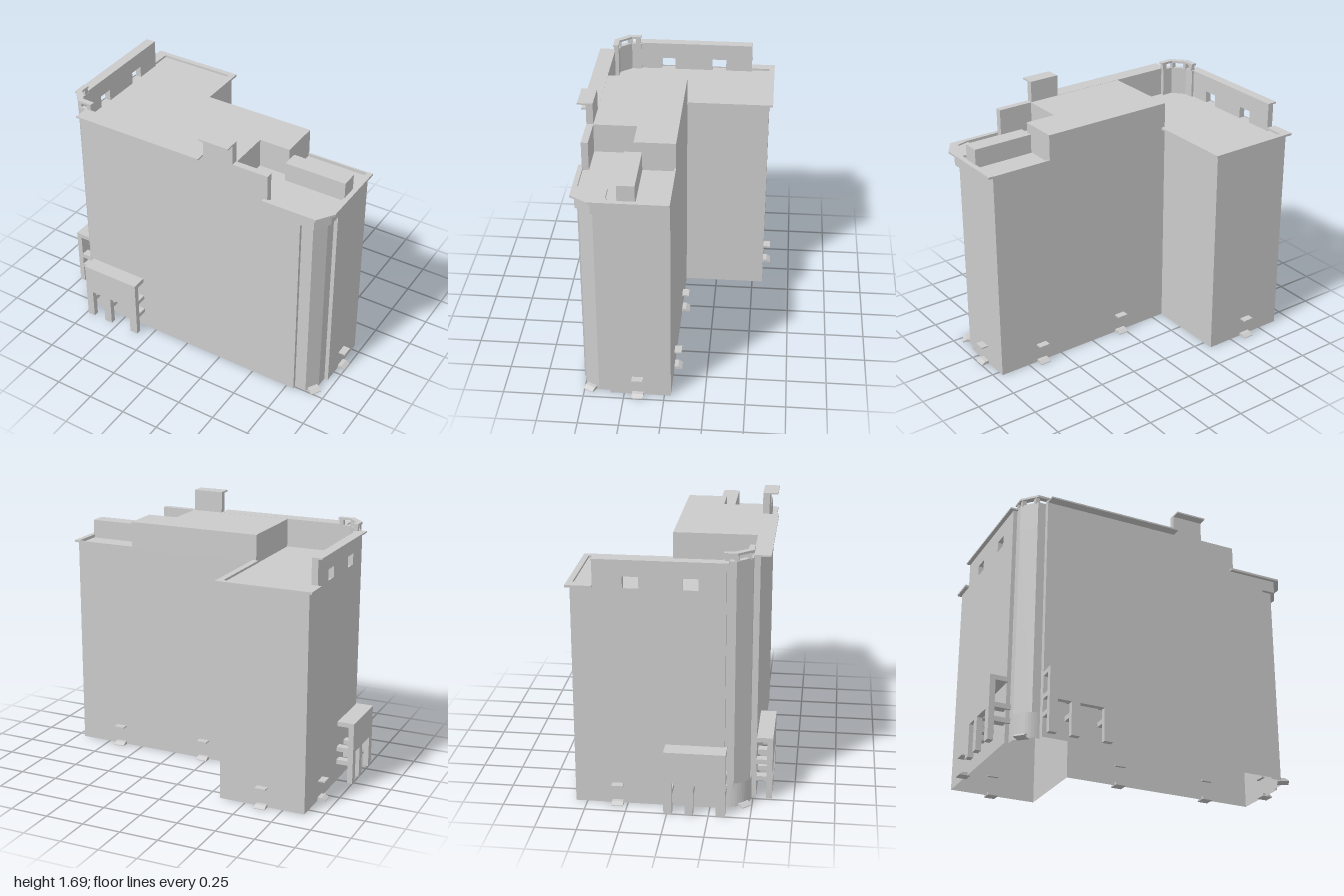
import * as THREE from 'three';

const mat = new THREE.MeshStandardMaterial({ color: 0xcccccc, flatShading: true, side: THREE.DoubleSide });

function add(parent, name, geo) {
  const m = new THREE.Mesh(geo, mat);
  m.name = name;
  parent.add(m);
  return m;
}

// Box given by its min and max on each axis
function box(parent, name, x0, x1, y0, y1, z0, z1) {
  const g = new THREE.BoxGeometry(x1 - x0, y1 - y0, z1 - z0);
  g.translate((x0 + x1) / 2, (y0 + y1) / 2, (z0 + z1) / 2);
  return add(parent, name, g);
}

const toShape = (pts) => new THREE.Shape(pts.map(([x, z]) => new THREE.Vector2(x, -z)));

// Plan outline [x, z] extruded upward
function prism(parent, name, pts, y0, y1) {
  const g = new THREE.ExtrudeGeometry(toShape(pts), { depth: y1 - y0, bevelEnabled: false });
  g.rotateX(-Math.PI / 2);
  g.translate(0, y0, 0);
  return add(parent, name, g);
}

// Closed ring of upright walls, open above and below
function walls(parent, name, pts, y0, y1) {
  const pos = [];
  pts.forEach(([ax, az], i) => {
    const [bx, bz] = pts[(i + 1) % pts.length];
    pos.push(ax, y0, az, bx, y0, bz, bx, y1, bz, ax, y0, az, bx, y1, bz, ax, y1, az);
  });
  const g = new THREE.BufferGeometry();
  g.setAttribute('position', new THREE.Float32BufferAttribute(pos, 3));
  g.computeVertexNormals();
  return add(parent, name, g);
}

// Step and optional canopy, facing local +z
function entrance(parent, x, z, angle, canopy = true) {
  const e = new THREE.Group();
  e.name = 'entrance';
  const s = new THREE.Shape([[-0.02, 0], [0.05, 0], [0.05, 0.004], [0.025, 0.02], [-0.02, 0.02]]
    .map(([a, b]) => new THREE.Vector2(a, b)));
  const g = new THREE.ExtrudeGeometry(s, { depth: 0.07, bevelEnabled: false });
  g.translate(0, 0, -0.035);
  g.rotateY(-Math.PI / 2);
  add(e, 'step', g);
  if (canopy) box(e, 'canopy', -0.035, 0.035, 0.124, 0.133, -0.02, 0.045);
  e.position.set(x, 0, z);
  e.rotation.y = angle;
  parent.add(e);
}

// Portico with three legs tied back to the wall; faces local +z, x from 0 to w
function portico(parent, name, w, depth, barY) {
  const p = new THREE.Group();
  p.name = name;
  const legs = [[0, 0.05], [w * 0.345, w * 0.48], [w - 0.055, w]];
  box(p, 'frontPanel', 0, w, 0.205, 0.405, depth - 0.035, depth);
  box(p, 'topSlab', 0, w, 0.375, 0.405, 0, depth);
  for (const [a, b] of legs) {
    box(p, 'leg', a, b, 0, 0.205, depth - 0.035, depth);
    for (const y of [0.118, barY]) box(p, 'tieBar', a, b, y, y + 0.03, -0.02, depth - 0.035);
  }
  parent.add(p);
  return p;
}

export function createModel() {
  const root = new THREE.Group();
  root.name = 'building';

  // L-shaped body with both front corners cut
  const outline = [
    [-0.89, -0.57], [-0.33, -0.57], [-0.33, -0.04], [0.95, -0.04], [0.95, 0.335],
    [0.925, 0.335], [0.925, 0.41], [0.875, 0.495], [0.8, 0.495], [0.8, 0.517],
    [-0.735, 0.517], [-0.735, 0.48], [-0.785, 0.48], [-0.865, 0.39], [-0.865, 0.335], [-0.89, 0.335],
  ];
  walls(root, 'outerWalls', outline, 0, 1.38);
  const roof = new THREE.ShapeGeometry(toShape(outline));
  roof.rotateX(-Math.PI / 2);
  roof.translate(0, 1.372, 0);
  add(root, 'roof', roof);
  prism(root, 'cornerHead', [[0.8, 0.517], [0.89, 0.517], [0.95, 0.42], [0.95, 0.335], [0.8, 0.335]], 1.3, 1.385);

  // Rounded base at the left front corner
  const base = new THREE.CylinderGeometry(0.128, 0.128, 0.155, 12, 1, true, -Math.PI / 2, Math.PI / 2);
  base.translate(-0.74, 0.0775, 0.362);
  add(root, 'roundedBase', base);

  // Thin cornices around the lower roofs
  prism(root, 'wingCornice', [[-0.915, -0.595], [-0.305, -0.595], [-0.305, -0.04], [-0.345, -0.04],
    [-0.345, -0.56], [-0.85, -0.56], [-0.85, -0.44], [-0.915, -0.44]], 1.38, 1.394);
  prism(root, 'endCornice', [[0.555, 0.54], [0.91, 0.54], [0.98, 0.435], [0.98, -0.04], [0.945, -0.04],
    [0.945, 0.325], [0.925, 0.325], [0.92, 0.41], [0.88, 0.49], [0.8, 0.51], [0.555, 0.51]], 1.38, 1.394);
  box(root, 'backRim', 0.55, 0.95, 1.372, 1.392, -0.04, -0.03);

  // Upper storey and small roof box
  prism(root, 'upperStorey', [[-0.33, -0.04], [0.55, -0.04], [0.55, 0.21], [0.35, 0.21],
    [0.35, 0.515], [-0.33, 0.515]], 1.372, 1.556);
  box(root, 'roofBox', 0.555, 0.95, 1.372, 1.494, 0.16, 0.265);

  // Left parapet with two openings
  const bays = [-0.44, -0.265, -0.17, 0.08, 0.175, 0.335];
  for (let i = 0; i < 6; i += 2) box(root, 'sideParapet', -0.89, -0.85, 1.372, 1.45, bays[i], bays[i + 1]);
  box(root, 'sideParapetTop', -0.89, -0.85, 1.45, 1.555, -0.44, 0.335);
  box(root, 'sideLedge', -0.915, -0.85, 1.547, 1.557, -0.44, 0.35);

  // Front parapet, raised crest and ledges
  box(root, 'frontParapet', -0.735, 0.145, 1.372, 1.556, 0.475, 0.517);
  box(root, 'frontLedge', -0.735, 0.145, 1.547, 1.557, 0.475, 0.578);
  box(root, 'crest', 0.145, 0.345, 1.372, 1.69, 0.475, 0.517);
  box(root, 'crestLedge', 0.145, 0.345, 1.683, 1.693, 0.475, 0.57);
  box(root, 'rightParapet', 0.345, 0.58, 1.372, 1.556, 0.475, 0.517);

  // Left corner parapet and raised crown on posts
  const band = [[-0.89, 0.335], [-0.865, 0.335], [-0.865, 0.39], [-0.785, 0.48], [-0.735, 0.48], [-0.7, 0.48],
    [-0.7, 0.45], [-0.77, 0.45], [-0.835, 0.375], [-0.835, 0.31], [-0.89, 0.31]];
  prism(root, 'cornerParapet', band, 1.372, 1.556);
  prism(root, 'crown', [[-0.87, 0.315], [-0.87, 0.395], [-0.787, 0.485], [-0.69, 0.485], [-0.69, 0.45],
    [-0.77, 0.45], [-0.835, 0.375], [-0.835, 0.315]], 1.59, 1.604);
  for (const [x, z] of [[-0.85, 0.335], [-0.845, 0.39], [-0.785, 0.458], [-0.71, 0.465]]) {
    box(root, 'crownPost', x - 0.014, x + 0.014, 1.55, 1.59, z - 0.014, z + 0.014);
  }

  // Porticos on the front and left
  portico(root, 'frontPortico', 0.4, 0.103, 0.23).position.set(-0.735, 0, 0.512);
  const side = portico(root, 'sidePortico', 0.37, 0.115, 0.205);
  side.rotation.y = -Math.PI / 2;
  side.position.set(-0.885, 0, -0.02);

  // Entrances at the back, sides and corners
  entrance(root, -0.615, -0.57, Math.PI);
  entrance(root, 0.03, -0.04, Math.PI);
  entrance(root, 0.652, -0.04, Math.PI);
  entrance(root, -0.89, -0.31, -Math.PI / 2);
  entrance(root, 0.95, 0.165, Math.PI / 2);
  entrance(root, -0.825, 0.437, -Math.PI / 4, false);
  entrance(root, 0.9, 0.453, Math.PI / 3, false);
  return root;
}
